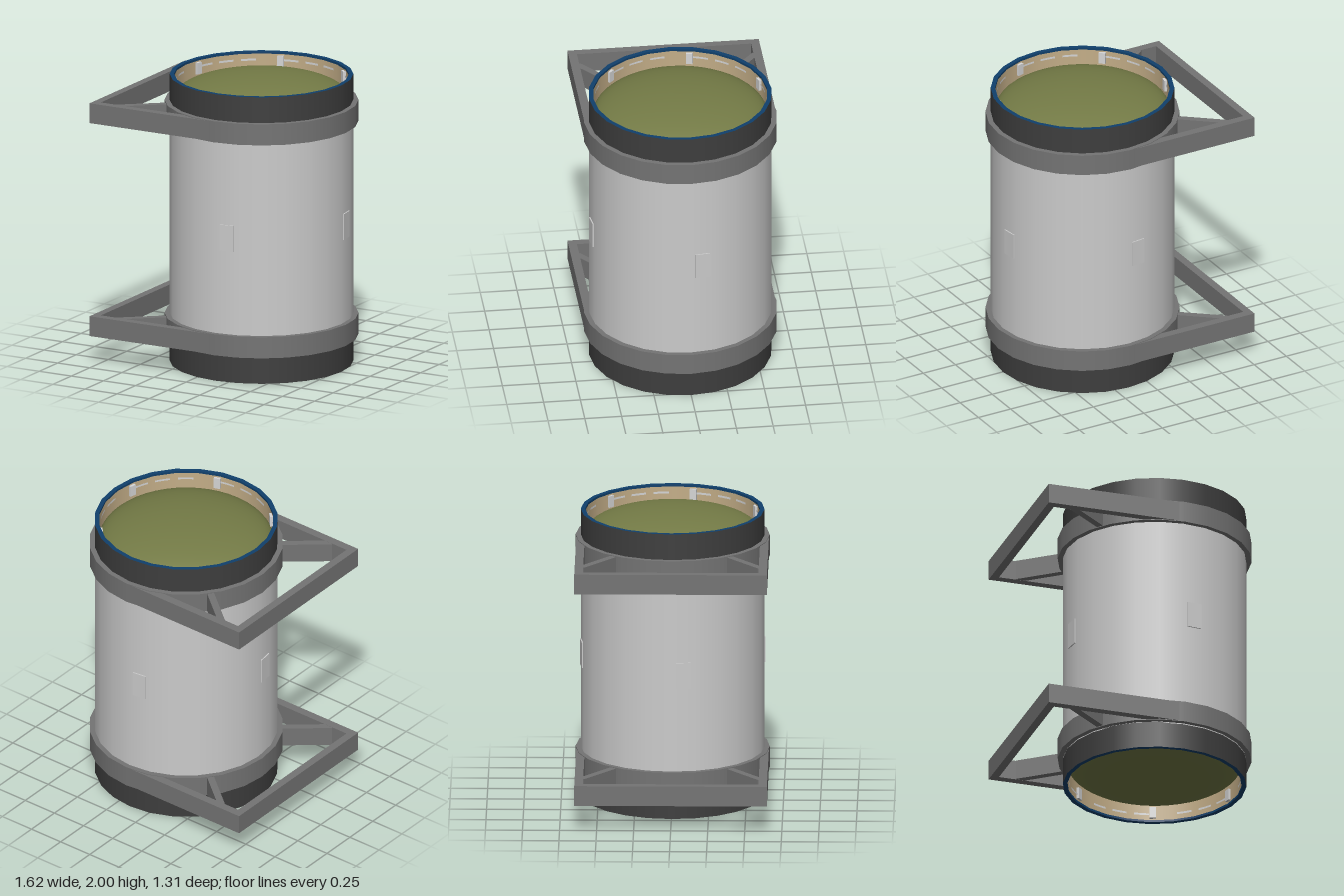
import * as THREE from 'three';

const SIDES = 24, CX = 0.155, R = 0.62, INNER = 0.59;

function material(name, color, side = THREE.FrontSide) {
  const m = new THREE.MeshStandardMaterial({ color, side });
  m.name = name;
  return m;
}

export function createModel() {
  const shell = material('light grey', 0xcbcbcb);
  const cap = material('charcoal', 0x3e3e3e);
  const steel = material('steel grey', 0x747474);
  const blue = material('dark blue', 0x10406c, THREE.DoubleSide);
  const olive = material('olive', 0x747b46);
  const tan = material('tan', 0xc4ae88, THREE.DoubleSide);
  const pale = material('pale grey', 0xd6d6d6, THREE.DoubleSide);

  const root = new THREE.Group();
  root.name = 'canister';
  const add = (parent, name, geometry, mat, x = 0, y = 0, z = 0) => {
    const mesh = new THREE.Mesh(geometry, mat);
    mesh.name = name;
    mesh.position.set(x, y, z);
    parent.add(mesh);
    return mesh;
  };
  const tube = (r, h) => new THREE.CylinderGeometry(r, r, h, SIDES, 1, true);

  // Main barrel
  const barrel = new THREE.Group();
  barrel.name = 'barrel';
  barrel.position.set(CX, 1, 0);
  root.add(barrel);
  add(barrel, 'barrelWall', tube(R, 1.64), shell);

  // Four shallow plates, each on one facet of the barrel wall
  for (let i = 0; i < 4; i++) {
    const a = THREE.MathUtils.degToRad(-7.5 + i * 90);
    const plate = add(barrel, 'sidePlate', new THREE.BoxGeometry(0.02, 0.18, 0.1), shell,
      0.613 * Math.cos(a), 0.005, 0.613 * Math.sin(a));
    plate.rotation.y = -a;
  }

  // Domed ends: the lower one is the upper one turned over
  for (const [name, turn] of [['topEnd', 0], ['bottomEnd', Math.PI]]) {
    const end = new THREE.Group();
    end.name = name;
    end.rotation.x = turn;
    barrel.add(end);

    add(end, 'endCollar', tube(R, 0.185), cap, 0, 0.9075, 0);
    const rim = add(end, 'rim', new THREE.RingGeometry(INNER, R, SIDES, 1), blue, 0, 1, 0);
    rim.rotation.x = -Math.PI / 2;
    rim.rotation.z = 0;
    add(end, 'rimLip', tube(INNER, 0.015), blue, 0, 0.9925, 0);
    add(end, 'innerLiner', tube(INNER, 0.185), tan, 0, 0.8925, 0);

    // Flattened dome sunk below the rim
    const profile = [];
    for (let i = 0; i <= 14; i++) {
      const t = (i / 14) * Math.PI / 2;
      profile.push(new THREE.Vector2(INNER * Math.cos(t), 0.16 * Math.sin(t)));
    }
    profile[14].x = 0;
    add(end, 'dome', new THREE.LatheGeometry(profile, 48), olive, 0, 0.835, 0);

    // Clips and dashed strips around the liner
    for (let i = 0; i < 6; i++) {
      const a = THREE.MathUtils.degToRad(13 + i * 60);
      const clip = add(end, 'linerClip', new THREE.BoxGeometry(0.02, 0.08, 0.045), pale,
        0.58 * Math.cos(a), 0.935, 0.58 * Math.sin(a));
      clip.rotation.y = -a;
      for (let j = 0; j < 3; j++) {
        const start = Math.PI / 2 - a - 0.22 - j * 0.27;
        add(end, 'linerStrip', new THREE.CylinderGeometry(0.582, 0.582, 0.014, 3, 1, true,
          start, 0.18), pale, 0, 0.945, 0);
      }
    }
  }

  // Clamp ring: a hollow band built as a closed profile
  const ringShape = new THREE.Shape();
  const hole = new THREE.Path();
  for (let i = 0; i < SIDES; i++) {
    const a = (i / SIDES) * Math.PI * 2;
    const c = Math.cos(a), s = Math.sin(a);
    ringShape[i ? 'lineTo' : 'moveTo'](0.655 * c, 0.655 * s);
    hole[i ? 'lineTo' : 'moveTo'](0.61 * c, 0.61 * s);
  }
  ringShape.holes.push(hole);
  const faceGeometry = new THREE.ShapeGeometry(ringShape);

  // Two mounting brackets, each a clamp ring with a braced frame
  for (const [name, y] of [['lowerBracket', 0.26], ['upperBracket', 1.747]]) {
    const bracket = new THREE.Group();
    bracket.name = name;
    bracket.position.y = y;
    root.add(bracket);

    add(bracket, 'clampBand', tube(0.655, 0.147), steel, CX, 0, 0);
    for (const s of [1, -1]) {
      const face = add(bracket, 'clampFace', faceGeometry, steel, CX, s * 0.0735, 0);
      face.rotation.x = -s * Math.PI / 2;
    }

    add(bracket, 'backBeam', new THREE.BoxGeometry(0.055, 0.138, 1.3), steel, -0.7825, 0, 0);
    for (const s of [1, -1]) {
      add(bracket, 'sideBeam', new THREE.BoxGeometry(0.93, 0.138, 0.058), steel,
        -0.345, 0, s * 0.621);
      const brace = add(bracket, 'diagonalBrace', new THREE.BoxGeometry(0.36, 0.136, 0.048),
        steel, -0.482, 0, s * 0.49);
      brace.rotation.y = s * Math.atan2(0.205, 0.25);
    }
  }
  return root;
}
